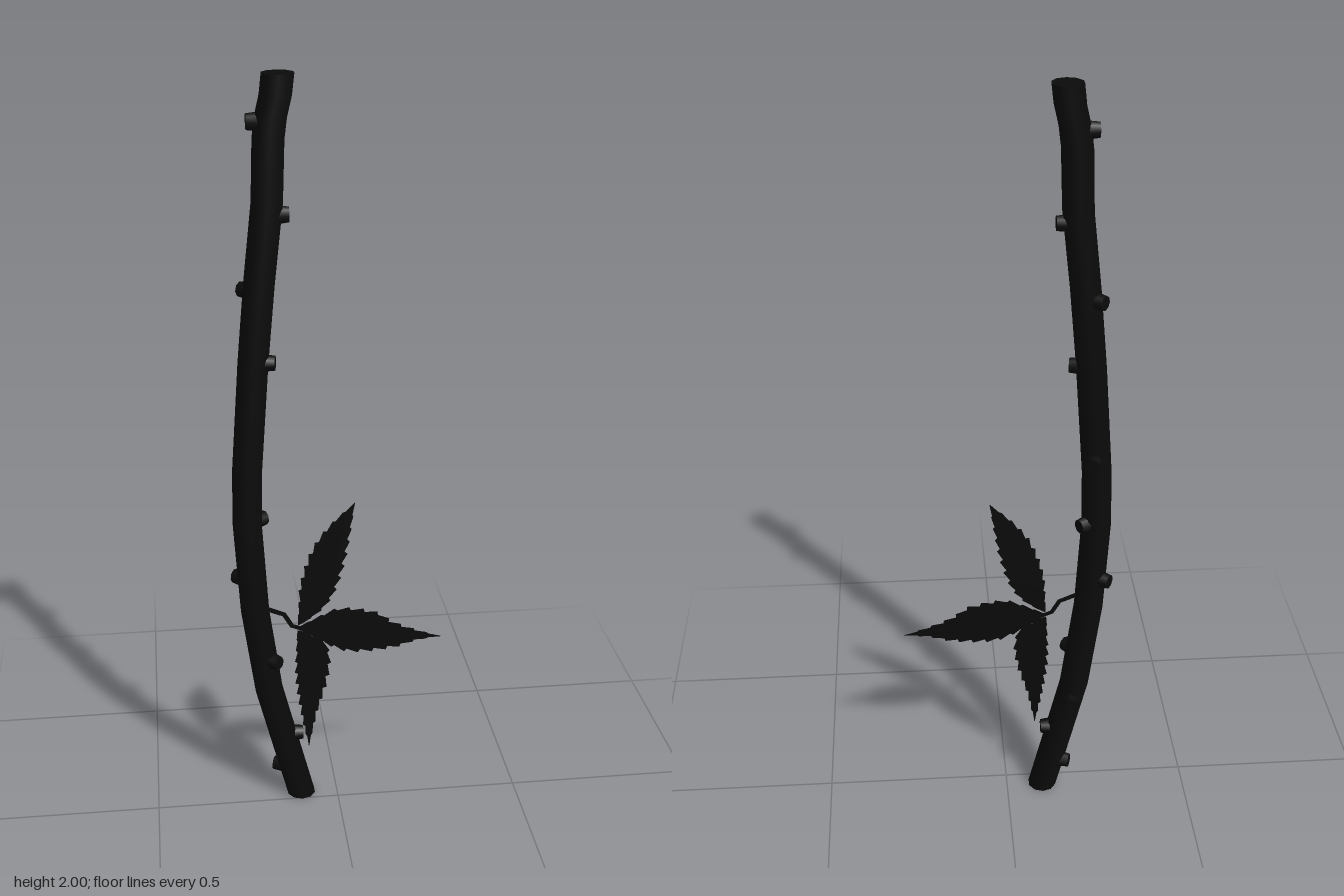
import * as THREE from 'three';

const material = new THREE.MeshStandardMaterial({ color: 0x0b0b0b });
const leafMaterial = new THREE.MeshStandardMaterial({ color: 0x0b0b0b, side: THREE.DoubleSide });
const LEAF_Z = 0.016;

// Centre line of the branch as [y, x]; z leans evenly forward
const BEND = [[0, -0.1], [0.15, -0.137], [0.35, -0.186], [0.6, -0.22], [0.85, -0.235], [1, -0.233],
  [1.3, -0.212], [1.5, -0.194], [1.7, -0.172], [1.88, -0.166], [1.94, -0.15], [2, -0.143]];

function branchCentre(y) {
  let i = 0;
  while (i < BEND.length - 2 && y > BEND[i + 1][0]) i++;
  const [y0, x0] = BEND[i], [y1, x1] = BEND[i + 1];
  return new THREE.Vector3(THREE.MathUtils.mapLinear(y, y0, y1, x0, x1), y, -0.035 + 0.04 * y);
}

function createBranch() {
  const geo = new THREE.CylinderGeometry(0.039, 0.039, 2, 10, 40);
  const p = geo.attributes.position;
  for (let i = 0; i < p.count; i++) {
    const y = THREE.MathUtils.clamp(p.getY(i) + 1, 0, 2);
    const c = branchCentre(y);
    p.setXYZ(i, p.getX(i) + c.x, y, p.getZ(i) + c.z);
  }
  const mesh = new THREE.Mesh(geo, material);
  mesh.name = 'branch';
  return mesh;
}

// Short bud stub standing out of the bark; angle turns from +x towards +z
function createBud(y, degrees) {
  const a = THREE.MathUtils.degToRad(degrees);
  const dir = new THREE.Vector3(Math.cos(a), 0, Math.sin(a));
  const mesh = new THREE.Mesh(new THREE.CylinderGeometry(0.019, 0.024, 0.04, 8), material);
  mesh.position.copy(branchCentre(y)).addScaledVector(dir, 0.035);
  mesh.quaternion.setFromUnitVectors(new THREE.Vector3(0, 1, 0), dir);
  mesh.name = 'bud';
  return mesh;
}

// One edge of a leaf, sampled as a saw whose teeth point at the tip
function sawEdge(points, towardsTip, teeth = 11) {
  const curve = new THREE.SplineCurve(points.map(([x, y]) => new THREE.Vector2(x, y)));
  const out = [];
  const add = (t, offset) => {
    const q = curve.getPointAt(t), d = curve.getTangentAt(t);
    const s = offset * Math.sin(Math.PI * t);
    out.push(new THREE.Vector2(q.x - d.y * s, q.y + d.x * s));
  };
  for (let k = 0; k < teeth; k++) {
    if (towardsTip) {
      add(k / teeth, -0.005);
      add((k + 0.85) / teeth, 0.005);
    } else {
      add((k + 0.15) / teeth, 0.005);
      add((k + 1) / teeth, -0.005);
    }
  }
  return out;
}

// Flat leaf outlined clockwise: base to tip, then tip to base
function createLeaf(name, outward, back) {
  const tip = outward[outward.length - 1];
  const outline = [...sawEdge(outward, true), new THREE.Vector2(...tip), ...sawEdge([tip, ...back], false)];
  const mesh = new THREE.Mesh(new THREE.ShapeGeometry(new THREE.Shape(outline)), leafMaterial);
  mesh.position.z = LEAF_Z;
  mesh.name = name;
  return mesh;
}

// Flat strip following a few points, tapering in width
function createStalk(points, w0, w1) {
  const n = points.length - 1;
  const left = [], right = [];
  points.forEach(([x, y], i) => {
    const a = points[Math.max(i - 1, 0)], b = points[Math.min(i + 1, n)];
    const d = new THREE.Vector2(b[0] - a[0], b[1] - a[1]).normalize();
    const h = THREE.MathUtils.lerp(w0, w1, i / n) / 2;
    left.push(new THREE.Vector2(x - d.y * h, y + d.x * h));
    right.unshift(new THREE.Vector2(x + d.y * h, y - d.x * h));
  });
  const mesh = new THREE.Mesh(new THREE.ShapeGeometry(new THREE.Shape([...left, ...right])), leafMaterial);
  mesh.position.z = LEAF_Z;
  mesh.name = 'leafStalk';
  return mesh;
}

export function createModel() {
  const model = new THREE.Group();
  model.name = 'leafyBranch';
  model.add(createBranch());

  // Buds spiralling up the bark
  const buds = new THREE.Group();
  buds.name = 'buds';
  [[0.09, 200], [0.2, 0], [0.31, -90], [0.45, 45], [0.69, 215], [0.86, -30],
    [1.05, -75], [1.3, 10], [1.48, 220], [1.67, 0], [1.89, 180]]
    .forEach(([y, angle]) => buds.add(createBud(y, angle)));
  model.add(buds);

  // Three leaves on one bent stalk
  const leaves = new THREE.Group();
  leaves.name = 'leafCluster';
  leaves.add(
    createStalk([[-0.21, 0.617], [-0.185, 0.612], [-0.145, 0.595], [-0.125, 0.56], [-0.1, 0.55]], 0.014, 0.012),
    createLeaf('upperLeaf',
      [[-0.108, 0.56], [-0.105, 0.62], [-0.098, 0.69], [-0.066, 0.785], [-0.02, 0.85], [0.042, 0.91]],
      [[0.03, 0.83], [0.012, 0.735], [-0.015, 0.65], [-0.05, 0.6], [-0.1, 0.564]]),
    createLeaf('sideLeaf',
      [[-0.108, 0.554], [-0.04, 0.588], [0.01, 0.603], [0.1, 0.585], [0.145, 0.553], [0.21, 0.525], [0.278, 0.502]],
      [[0.21, 0.495], [0.14, 0.477], [0.03, 0.474], [-0.04, 0.505], [-0.108, 0.55]]),
    createLeaf('lowerLeaf',
      [[-0.104, 0.545], [-0.065, 0.522], [-0.038, 0.505], [-0.025, 0.45], [-0.036, 0.375], [-0.06, 0.29], [-0.082, 0.18]],
      [[-0.1, 0.28], [-0.114, 0.4], [-0.112, 0.5], [-0.11, 0.545]])
  );
  model.add(leaves);
  return model;
}
